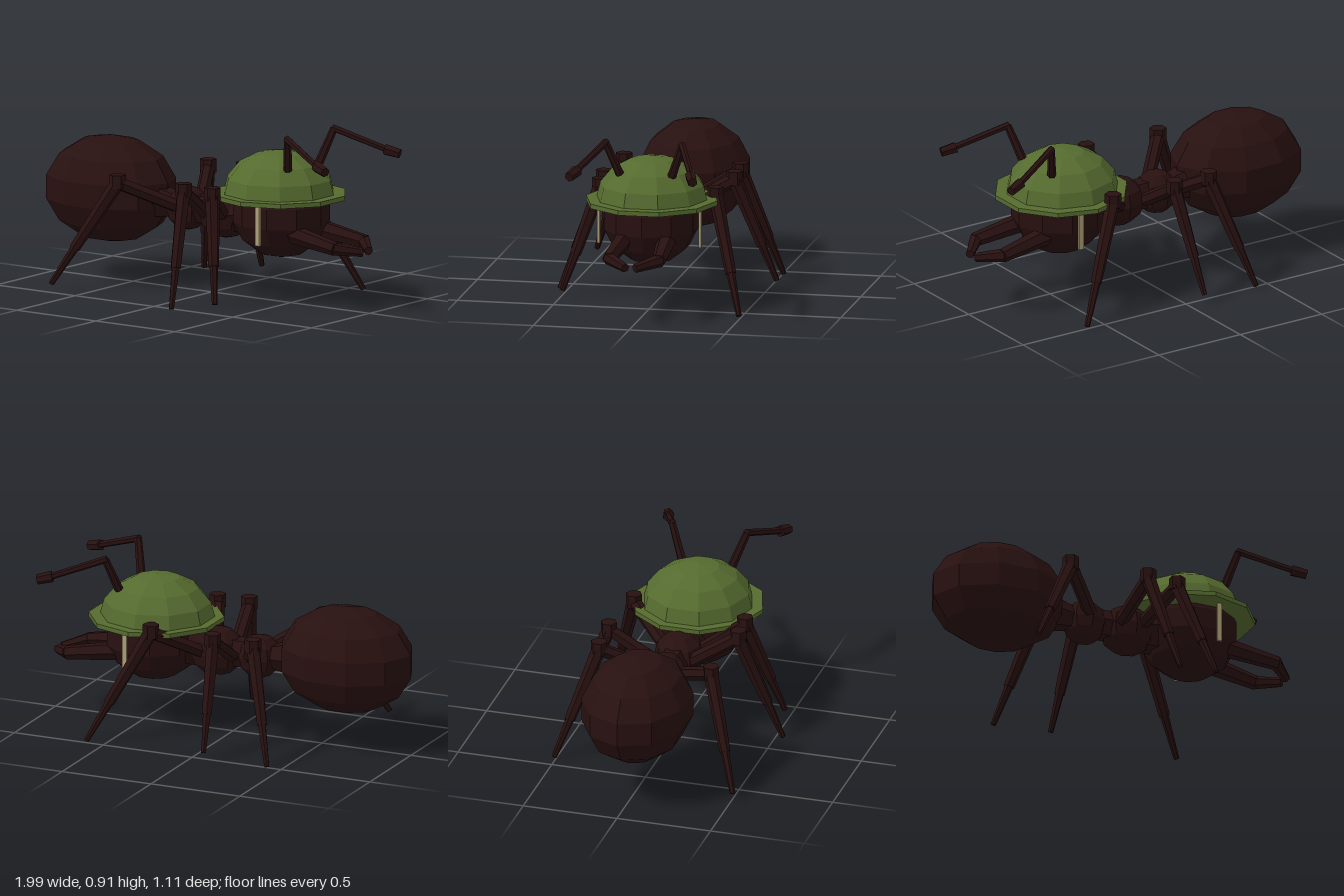
import * as THREE from 'three';

export function createModel() {
  const model = new THREE.Group();
  model.name = 'helmetedAnt';

  const material = (name, color) => {
    const m = new THREE.MeshStandardMaterial({ color, flatShading: true });
    m.name = name;
    return m;
  };
  const shell = material('darkBrownShell', 0x281010);
  const green = material('oliveHelmet', 0x556b2f);
  const tan = material('tanStrap', 0xb0a078);

  const add = (parent, name, geometry, mat, pos = [0, 0, 0]) => {
    const mesh = new THREE.Mesh(geometry, mat);
    mesh.name = name;
    mesh.position.set(...pos);
    parent.add(mesh);
    return mesh;
  };
  const group = (name) => {
    const g = new THREE.Group();
    g.name = name;
    model.add(g);
    return g;
  };
  // faceted ellipsoid
  const blob = (name, pos, radii, w = 10, h = 7) =>
    add(model, name, new THREE.SphereGeometry(1, w, h).scale(...radii), shell, pos);
  // tapered six-sided limb between two points
  const limb = (parent, name, a, b, ra, rb) => {
    const from = new THREE.Vector3(...a), to = new THREE.Vector3(...b);
    const dir = to.clone().sub(from);
    const mesh = add(parent, name, new THREE.CylinderGeometry(rb, ra, dir.length(), 6), shell);
    mesh.position.copy(from).add(to).multiplyScalar(0.5);
    mesh.quaternion.setFromUnitVectors(new THREE.Vector3(0, 1, 0), dir.normalize());
    return mesh;
  };
  const mix = (a, b, t) => a.map((v, i) => v + (b[i] - v) * t);

  // body, facing +x
  blob('abdomen', [-0.64, 0.473, 0], [0.369, 0.278, 0.286]);
  blob('waist', [-0.15, 0.425, 0], [0.115, 0.115, 0.115], 8, 6);
  blob('thorax', [0.09, 0.425, 0], [0.15, 0.13, 0.13], 8, 6);
  blob('head', [0.44, 0.468, 0], [0.257, 0.235, 0.25]);
  limb(model, 'rearJoint', [-0.33, 0.44, 0], [-0.2, 0.43, 0], 0.09, 0.06);
  limb(model, 'middleJoint', [-0.12, 0.43, 0], [0.05, 0.43, 0], 0.08, 0.08);
  limb(model, 'neck', [0.12, 0.43, 0], [0.3, 0.45, 0], 0.1, 0.12);

  // helmet: dome, brim and chin straps
  const helmet = group('helmet');
  const dome = new THREE.SphereGeometry(1, 10, 4, 0, Math.PI * 2, 0, Math.PI / 2);
  dome.rotateY(Math.PI / 2).scale(0.3, 0.237, 0.292);
  add(helmet, 'helmetDome', dome, green, [0.425, 0.553, 0]);
  add(helmet, 'helmetBrim', new THREE.CylinderGeometry(0.343, 0.343, 0.024, 10).scale(1.02, 1, 1),
    green, [0.432, 0.558, 0]);
  for (const s of [1, -1])
    add(helmet, s > 0 ? 'frontStrap' : 'backStrap', new THREE.BoxGeometry(0.025, 0.215, 0.014),
      tan, [0.487, 0.443, s * 0.265]);

  // legs: root, knee, foot
  const legs = [
    [[-0.15, 0.44, 0.08], [-0.37, 0.575, 0.31], [-0.645, 0.05, 0.51]],
    [[0.02, 0.43, 0.08], [0.06, 0.58, 0.325], [0.14, 0.01, 0.54]],
    [[0.13, 0.43, 0.08], [0.23, 0.575, 0.31], [0.37, 0.05, 0.48]],
    [[-0.13, 0.44, -0.08], [-0.26, 0.575, -0.32], [-0.425, 0.01, -0.51]],
    [[-0.03, 0.43, -0.08], [-0.04, 0.58, -0.335], [-0.085, 0.05, -0.545]],
    [[0.13, 0.43, -0.08], [0.32, 0.575, -0.31], [0.6, 0.01, -0.49]],
  ];
  legs.forEach(([root, knee, foot], i) => {
    const leg = group('leg' + (i + 1));
    const ankle = mix(knee, foot, 0.65);
    limb(leg, 'upperLeg', root, knee, 0.035, 0.035);
    add(leg, 'knee', new THREE.CylinderGeometry(0.043, 0.043, 0.07, 6), shell, [knee[0], knee[1] + 0.008, knee[2]]);
    limb(leg, 'lowerLeg', knee, ankle, 0.038, 0.028);
    limb(leg, 'foot', mix(knee, foot, 0.62), foot, 0.023, 0.014);
  });

  // antennae and mandibles, mirrored across z
  for (const s of [1, -1]) {
    const antenna = group(s > 0 ? 'frontAntenna' : 'backAntenna');
    const elbow = [0.627, 0.893, s * 0.2], tip = [0.9, 0.792, s * 0.305];
    limb(antenna, 'antennaBase', [0.58, 0.72, s * 0.135], elbow, 0.023, 0.019);
    limb(antenna, 'antennaTip', mix(elbow, tip, -0.03), tip, 0.019, 0.017);
    limb(antenna, 'antennaKnob', [0.88, 0.797, s * 0.296], [0.955, 0.778, s * 0.322], 0.03, 0.026);

    const mandible = group(s > 0 ? 'frontMandible' : 'backMandible');
    limb(mandible, 'mandibleBase', [0.6, 0.385, s * 0.11], [0.88, 0.342, s * 0.13], 0.05, 0.036);
    limb(mandible, 'mandibleTip', [0.865, 0.344, s * 0.135], [0.975, 0.32, s * 0.025], 0.035, 0.023);
  }
  return model;
}
